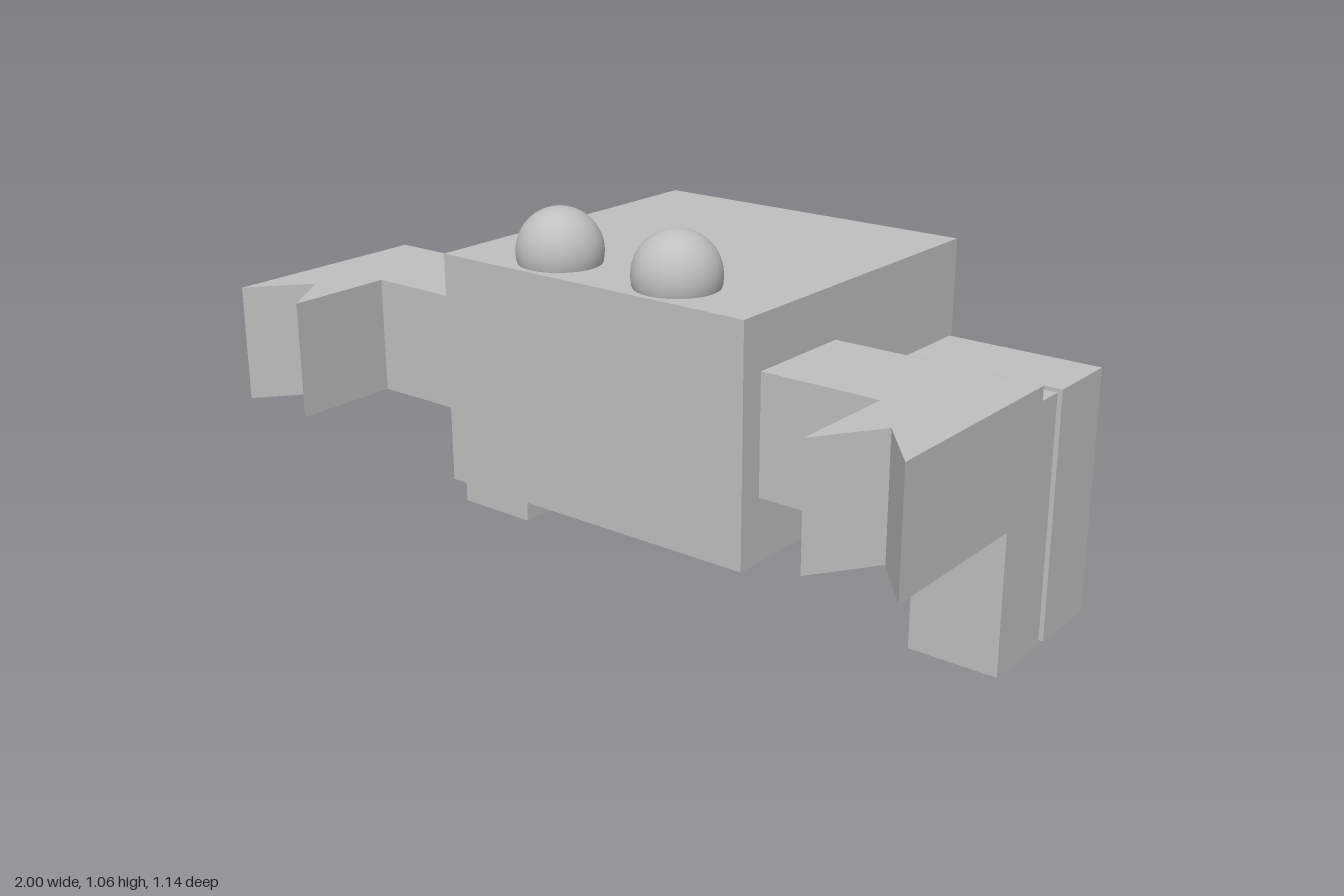
import * as THREE from 'three';

const shell = new THREE.MeshStandardMaterial({ color: 0xbfbfbf });
shell.name = 'shellGrey';

// Prism from a 2D outline, mirrored across x by side (+1 or -1)
function prism(points, side, depth) {
  const shape = new THREE.Shape(points.map(([x, y]) => new THREE.Vector2(x * side, y)));
  return new THREE.ExtrudeGeometry(shape, { depth, bevelEnabled: false });
}

export function createModel() {
  const model = new THREE.Group();
  model.name = 'crab';

  const add = (name, geometry, x, y, z) => {
    const mesh = new THREE.Mesh(geometry, shell);
    mesh.name = name;
    mesh.position.set(x, y, z);
    model.add(mesh);
  };

  add('body', new THREE.BoxGeometry(0.922, 0.602, 0.925), 0, 0.624, -0.112);

  // Claw outline in plan (x, z) and bent leg outline from the front (x, y)
  const clawOutline = [[0.45, -0.017], [1, -0.017], [1, 0.56], [0.88, 0.415],
    [0.772, 0.57], [0.772, 0.284], [0.45, 0.284]];
  const legOutline = [[0.45, 0.667], [0.89, 0.667], [0.89, 0], [0.643, 0],
    [0.643, 0.46], [0.45, 0.46]];

  for (const side of [1, -1]) {
    const label = side > 0 ? 'left' : 'right';

    add(label + 'Eye', new THREE.SphereGeometry(0.109, 32, 16), side * 0.181, 0.954, 0.23);

    // Forward-reaching arm with a notched pincer
    const claw = prism(clawOutline, side, 0.304);
    claw.rotateX(Math.PI / 2);
    add(label + 'Claw', claw, 0, 0.79, 0);

    // Two walking legs behind the arm
    add(label + 'FrontLeg', prism(legOutline, side, 0.213), 0, 0, -0.323);
    add(label + 'BackLeg', prism(legOutline, side, 0.213), 0, 0, -0.563);
  }
  return model;
}
